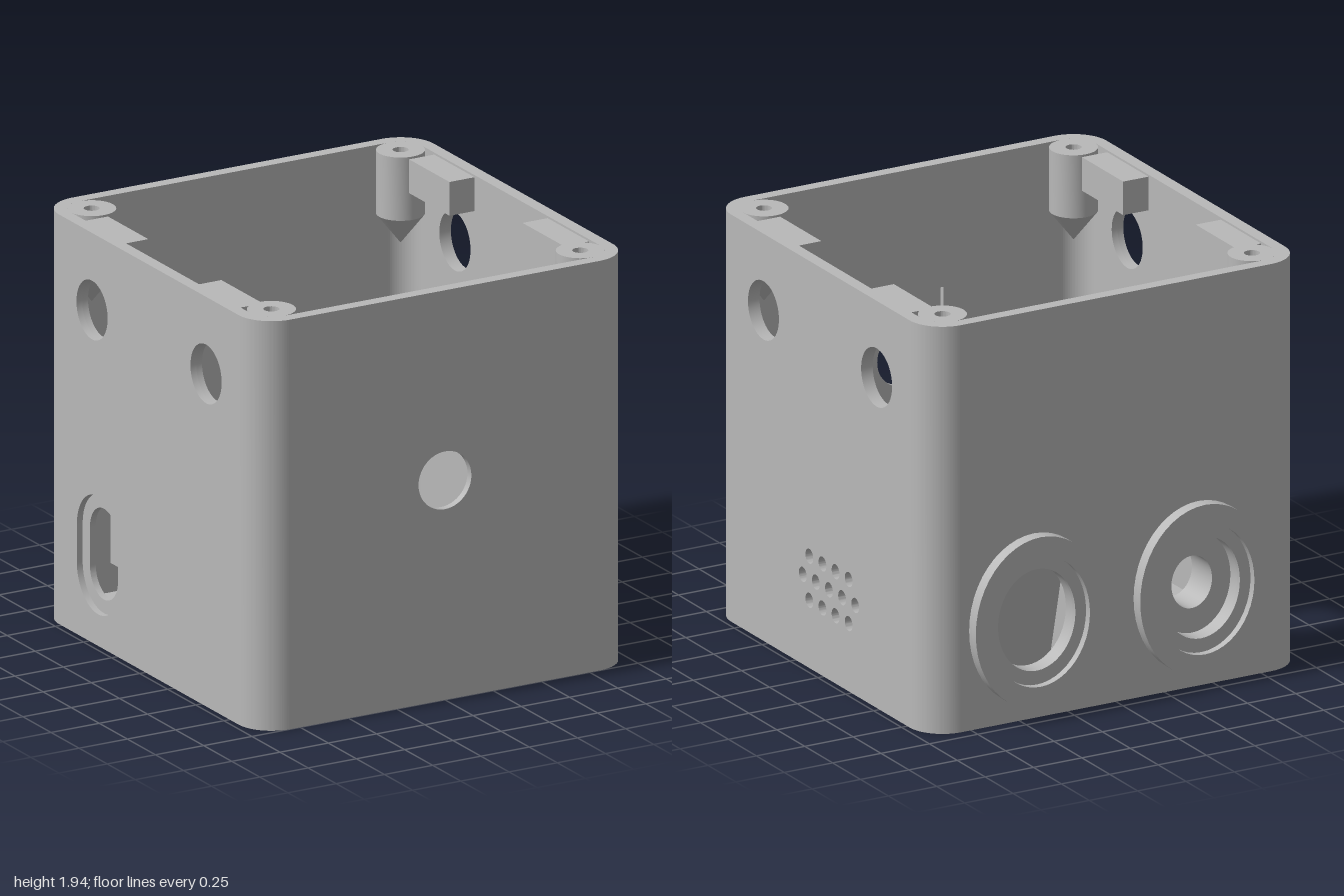
import * as THREE from 'three';
import { toCreasedNormals } from 'three/addons/utils/BufferGeometryUtils.js';

const H = 1.94, R = 0.17, T = 0.06;      // height, corner radius, wall thickness
const X = 0.97, Z0 = -0.94, Z1 = 1.0;    // outer faces
const CX = 0.8, CZ = [-0.77, 0.83];      // corner centres

export function createModel() {
  const model = new THREE.Group();
  model.name = 'enclosure';
  const grey = new THREE.MeshStandardMaterial({ color: 0xb8b8b8 });
  grey.name = 'grey plastic';

  const add = (name, geo, x = 0, y = 0, z = 0) => {
    const mesh = new THREE.Mesh(toCreasedNormals(geo, 0.5), grey);
    mesh.name = name;
    mesh.position.set(x, y, z);
    model.add(mesh);
    return mesh;
  };
  const box = (name, x0, x1, y0, y1, z0, z1) =>
    add(name, new THREE.BoxGeometry(x1 - x0, y1 - y0, z1 - z0), (x0 + x1) / 2, (y0 + y1) / 2, (z0 + z1) / 2);

  // Outline helpers
  const rect = (u0, u1, v0, v1) => new THREE.Shape([[u0, v0], [u1, v0], [u1, v1], [u0, v1]].map(p => new THREE.Vector2(...p)));
  const oval = (u, v, ru, rv = ru) => new THREE.Shape().absellipse(u, v, ru, rv, 0, Math.PI * 2, false);
  const slot = (u, v, r, half) => new THREE.Shape()
    .absarc(u, v + half - r, r, 0, Math.PI, false)
    .absarc(u, v - half + r, r, Math.PI, Math.PI * 2, false).closePath();
  const extrude = (shape, holes, depth) => {
    shape.holes = holes;
    return new THREE.ExtrudeGeometry(shape, { depth, bevelEnabled: false, curveSegments: 24 });
  };
  // Panels lie across z, or across x (where u = -z)
  const panelZ = (name, shape, holes, z0, z1) => add(name, extrude(shape, holes, z1 - z0), 0, 0, z0);
  const panelX = (name, shape, holes, x0, x1) => add(name, extrude(shape, holes, x1 - x0).rotateY(Math.PI / 2), x0, 0, 0);
  const plan = (name, shape, holes, y0, y1, x = 0, z = 0) =>
    add(name, extrude(shape, holes, y1 - y0).rotateX(-Math.PI / 2), x, y0, z);

  // Floor
  const floor = new THREE.Shape();
  const a = CX, r = R - T;
  floor.absarc(a, a, r, 0, Math.PI / 2).absarc(-a, a, r, Math.PI / 2, Math.PI)
    .absarc(-a, -a, r, Math.PI, Math.PI * 1.5).absarc(a, -a, r, Math.PI * 1.5, Math.PI * 2).closePath();
  plan('floor', floor, [], 0, T, 0, 0.03);

  // Rounded corners, each with a screw post ending in a cone
  for (const sx of [-1, 1]) for (const z of CZ) {
    const start = sx > 0 ? (z < 0 ? 0 : 1.5) : (z < 0 ? 0.5 : 1);
    const a0 = start * Math.PI, a1 = a0 + Math.PI / 2;
    const corner = new THREE.Shape().absarc(0, 0, R, a0, a1, false).absarc(0, 0, r, a1, a0, true).closePath();
    plan('corner', corner, [], 0, H, sx * CX, z);
    plan('screwPost', oval(0, 0, r), [oval(0, 0, 0.036)], H - 0.3, H, sx * CX, z);
    add('screwPostCone', new THREE.ConeGeometry(r, 0.14, 32).rotateX(Math.PI), sx * CX, H - 0.37, z);
  }

  // Front wall with a round hole and a shallow pocket behind it
  panelZ('frontWall', rect(-CX, CX, 0, H), [oval(0, 1.04, 0.137)], Z1 - 0.035, Z1);
  panelZ('frontWallInner', rect(-CX, CX, 0, H), [rect(-0.19, 0.19, 0.73, 1.35)], Z1 - T, Z1 - 0.035);

  // Back wall with two stepped oval collars
  const ports = [-0.425, 0.425], PY = 0.475;
  panelZ('backWall', rect(-CX, CX, 0, H), ports.map(x => oval(x, PY, 0.2, 0.242)), Z0, Z0 + T);
  for (const x of ports) {
    panelZ('collarRim', oval(x, PY, 0.335, 0.405), [oval(x, PY, 0.255, 0.308)], -1, -0.965);
    panelZ('collarStep', oval(x, PY, 0.335, 0.405), [oval(x, PY, 0.2, 0.242)], -0.965, Z0);
  }

  // Side walls: two upper holes each, a vent on the left, a stepped slot on the right
  const side = () => rect(-CZ[1], -CZ[0], 0, H);
  const upper = () => [-0.54, 0.475].map(u => oval(u, 1.575, 0.139));
  const vents = [];
  for (const [row, n] of [[-1, 4], [0, 5], [1, 4]])
    for (let i = 0; i < n; i++) vents.push(oval(0.048 + (i - (n - 1) / 2) * 0.1175, 0.428 + row * 0.105, 0.035));
  panelX('leftWall', side(), [...upper(), ...vents], X - T, X);
  panelX('rightWallOuter', side(), [...upper(), slot(0.42, 0.43, 0.19, 0.28)], -X, -X + 0.03);
  panelX('rightWallInner', side(), [...upper(), slot(0.42, 0.43, 0.125, 0.215)], -X + 0.03, -X + T);

  // Lid tabs under the rim
  for (const sx of [-1, 1]) for (const [z0, z1] of [[-0.66, -0.3], [0.35, 0.72]])
    box('lidTab', Math.min(sx * 0.78, sx * 0.91), Math.max(sx * 0.78, sx * 0.91), H - 0.17, H - 0.01, z0, z1);

  // Bored block behind one back port
  panelZ('portBlock', rect(-0.64, -0.22, 0.2, 0.75), [oval(-0.425, PY, 0.105, 0.125)], Z0 + T, -0.7);

  // Sloping hood behind the other back port
  const topY = 0.95, lowY = T;
  const wedge = (zTop, zLow, thick) => new THREE.Shape([
    [-zTop, topY], [-zLow, lowY], [-zLow + thick, lowY], [-zTop + thick, topY],
  ].map(p => new THREE.Vector2(...p)));
  panelX('hoodSlope', wedge(-0.87, -0.65, 0.03), [], 0.21, 0.665);
  for (const [x0, x1] of [[0.17, 0.21], [0.665, 0.705]]) {
    const cheek = new THREE.Shape([[0.89, topY], [0.89, lowY], [0.59, lowY], [0.59, 0.12], [0.84, topY]]
      .map(p => new THREE.Vector2(...p)));
    panelX('hoodCheek', cheek, [], x0, x1);
  }
  box('hoodTop', 0.21, 0.665, topY - 0.03, topY, -0.89, -0.86);

  // Ledge under the vent
  box('ventLedge', 0.73, 0.91, 0.12, 0.2, -0.37, 0.25);
  box('ventLedgeStep', 0.83, 0.91, 0.2, 0.26, -0.1, 0.25);

  return model;
}
